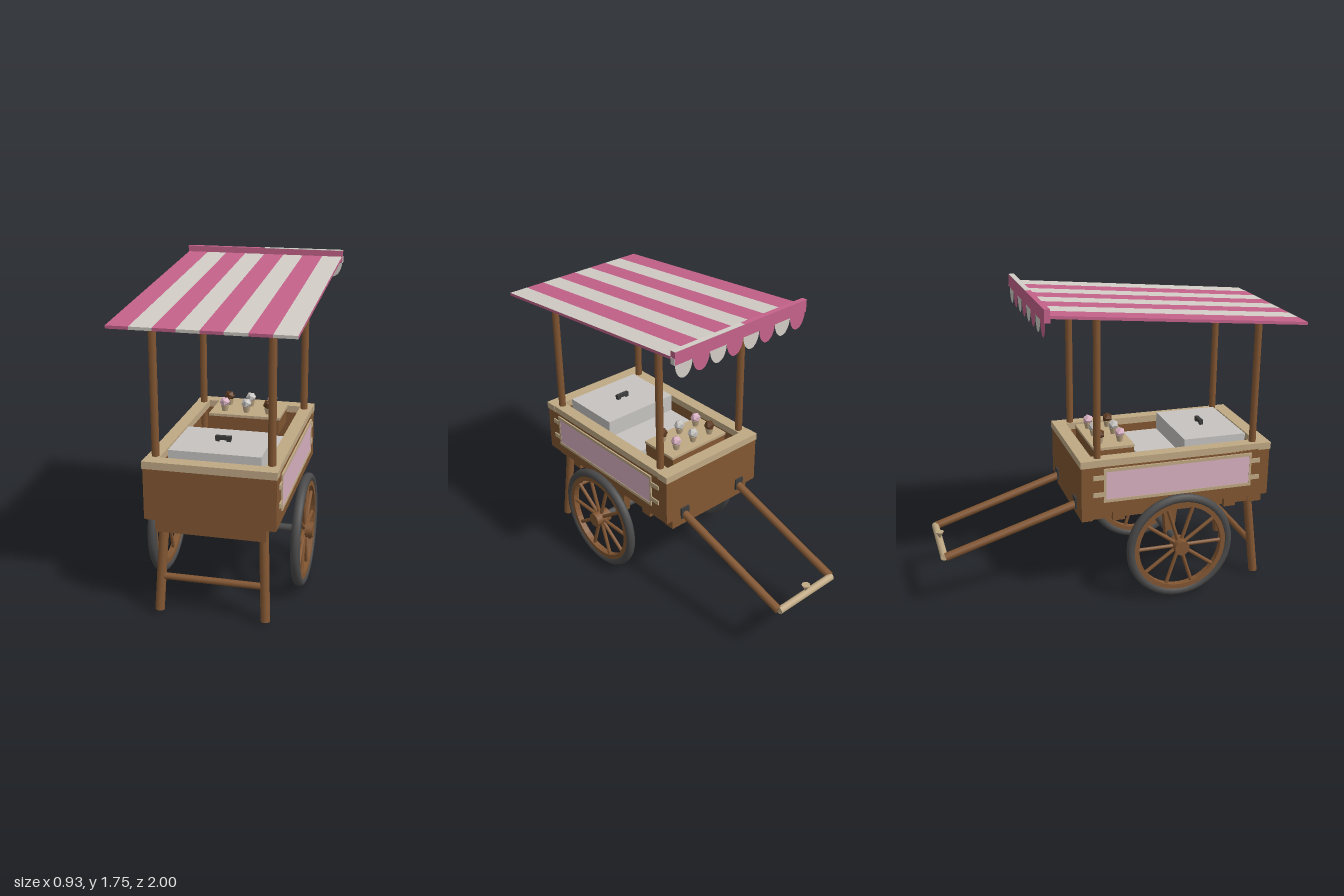
import * as THREE from 'three';

const mat = (name, color, extra = {}) => Object.assign(new THREE.MeshStandardMaterial({ color, ...extra }), { name });

export function createModel() {
  const wood = mat('wood', 0x825632);
  const paleWood = mat('pale wood', 0xc0a985);
  const pink = mat('awning pink', 0xc4628a, { side: THREE.DoubleSide });
  const cream = mat('awning cream', 0xd2cdc6, { side: THREE.DoubleSide });
  const palePink = mat('pale pink', 0xd8b0c1);
  const grey = mat('lid grey', 0xc6c3c0);
  const rubber = mat('rubber', 0x4a4a4a);
  const iron = mat('dark iron', 0x3c3c3c);
  const chocolate = mat('chocolate', 0x5e3a20);

  const root = new THREE.Group();
  root.name = 'vendorCart';
  const V = (x, y, z) => new THREE.Vector3(x, y, z);

  function add(name, geo, material, x = 0, y = 0, z = 0, parent = root) {
    const m = new THREE.Mesh(geo, material);
    m.name = name;
    m.position.set(x, y, z);
    parent.add(m);
    return m;
  }
  // Box given by its limits on each axis
  function box(name, material, x0, x1, y0, y1, z0, z1, parent = root) {
    return add(name, new THREE.BoxGeometry(x1 - x0, y1 - y0, z1 - z0), material,
      (x0 + x1) / 2, (y0 + y1) / 2, (z0 + z1) / 2, parent);
  }
  // Round rod between two points
  function rod(name, material, a, b, r, sides = 12, parent = root) {
    const d = b.clone().sub(a);
    const m = add(name, new THREE.CylinderGeometry(r, r, d.length(), sides), material, 0, 0, 0, parent);
    m.position.copy(a).add(b).multiplyScalar(0.5);
    m.quaternion.setFromUnitVectors(V(0, 1, 0), d.normalize());
    return m;
  }

  // Body: open box with floor
  box('bodyFloor', wood, -0.34, 0.34, 0.555, 0.58, -0.225, 0.875);
  box('bodyFront', wood, -0.345, 0.345, 0.56, 0.84, 0.85, 0.88);
  box('bodyBack', wood, -0.345, 0.345, 0.56, 0.84, -0.23, -0.2);
  box('topRimFront', paleWood, -0.348, 0.348, 0.835, 0.875, 0.81, 0.885);
  box('topRimBack', paleWood, -0.348, 0.348, 0.835, 0.875, -0.235, -0.16);

  // Underframe
  box('frameFront', wood, -0.29, 0.29, 0.49, 0.556, 0.8, 0.87);
  box('frameBack', wood, -0.29, 0.29, 0.49, 0.556, -0.215, -0.15);
  for (const z of [0.665, -0.005]) box('crossBeam', wood, -0.31, 0.31, 0.488, 0.556, z - 0.035, z + 0.035);

  // Tapered axle bracket profile
  const bracket = new THREE.Shape([[-0.05, 0.556], [-0.022, 0.3], [0.022, 0.3], [0.05, 0.556]]
    .map(([a, b]) => new THREE.Vector2(a, b)));
  const bracketGeo = new THREE.ExtrudeGeometry(bracket, { depth: 0.05, bevelEnabled: false });
  bracketGeo.translate(0, 0, -0.025).rotateY(Math.PI / 2);

  for (const s of [1, -1]) {
    const side = (name, m, x0, x1, ...r) => box(name, m, Math.min(s * x0, s * x1), Math.max(s * x0, s * x1), ...r);
    side('bodySide', wood, 0.315, 0.345, 0.56, 0.84, -0.2, 0.85);
    side('topRimSide', paleWood, 0.275, 0.345, 0.835, 0.875, -0.16, 0.81);
    side('frameRail', wood, 0.23, 0.285, 0.495, 0.556, -0.15, 0.8);

    // Painted side panel with slats
    side('sidePanel', palePink, 0.345, 0.351, 0.642, 0.81, -0.092, 0.757);
    for (const y of [0.633, 0.814]) side('panelTrim', paleWood, 0.345, 0.354, y - 0.009, y + 0.009, -0.105, 0.77);
    for (const z of [-0.098, 0.763]) side('panelEndTrim', paleWood, 0.345, 0.353, 0.63, 0.815, z - 0.006, z + 0.006);
    for (const y of [0.672, 0.773]) {
      side('panelSlat', paleWood, 0.345, 0.352, y - 0.013, y + 0.013, 0.757, 0.822);
      side('panelSlat', paleWood, 0.345, 0.352, y - 0.013, y + 0.013, -0.165, -0.092);
    }

    // Awning posts
    rod('frontPost', wood, V(s * 0.302, 0.58, 0.79), V(s * 0.302, 1.602, 0.79), 0.021, 8);
    rod('backPost', wood, V(s * 0.302, 0.58, -0.13), V(s * 0.302, 1.684, -0.13), 0.021, 8);

    // Front legs, axle brackets, pull handles
    rod('frontLeg', wood, V(s * 0.262, 0.56, 0.79), V(s * 0.285, 0.03, 0.85), 0.025);
    add('axleBracket', bracketGeo, wood, s * 0.21, 0, 0.33);
    rod('pullShaft', wood, V(s * 0.213, 0.578, -0.215), V(s * 0.207, 0.342, -0.972), 0.023);
    side('shaftBracket', iron, 0.185, 0.241, 0.55, 0.62, -0.24, -0.23);

    // Wheel
    const wheel = new THREE.Group();
    wheel.name = s > 0 ? 'leftWheel' : 'rightWheel';
    wheel.position.set(s * 0.395, 0.325, 0.33);
    wheel.rotation.y = Math.PI / 2;
    root.add(wheel);
    add('tyre', new THREE.TorusGeometry(0.29, 0.026, 10, 40), rubber, 0, 0, 0, wheel);
    const rim = new THREE.Shape().absarc(0, 0, 0.275, 0, Math.PI * 2, false);
    rim.holes.push(new THREE.Path().absarc(0, 0, 0.245, 0, Math.PI * 2, true));
    add('wheelRim', new THREE.ExtrudeGeometry(rim, { depth: 0.036, bevelEnabled: false, curveSegments: 20 }),
      wood, 0, 0, -0.018, wheel);
    for (let i = 0; i < 10; i++) {
      const a = i * Math.PI / 5, c = Math.cos(a), n = Math.sin(a);
      rod('spoke', wood, V(c * 0.03, n * 0.03, 0), V(c * 0.255, n * 0.255, 0), 0.011, 8, wheel);
    }
    rod('hub', wood, V(0, 0, -0.05), V(0, 0, 0.05), 0.043, 14, wheel);
  }
  rod('legCrossbar', wood, V(-0.272, 0.218, 0.829), V(0.272, 0.218, 0.829), 0.018);
  rod('axle', rubber, V(-0.4, 0.325, 0.33), V(0.4, 0.325, 0.33), 0.021);

  // Handle bar with small bell
  rod('handleBar', paleWood, V(-0.208, 0.342, -0.979), V(0.208, 0.342, -0.979), 0.021);
  add('bell', new THREE.CylinderGeometry(0.024, 0.005, 0.036, 10), paleWood, 0, 0.382, -0.976);

  // Cold box with lid
  box('coldBox', grey, -0.24, 0.24, 0.58, 0.8, 0.16, 0.8);
  box('lid', grey, -0.243, 0.243, 0.8, 0.903, 0.4, 0.77);
  box('lidGrip', iron, -0.042, 0.042, 0.912, 0.932, 0.57, 0.592);
  for (const x of [-0.03, 0.03]) box('gripFoot', iron, x - 0.01, x + 0.01, 0.9, 0.915, 0.571, 0.591);

  // Tray of ice cream cones
  box('trayBody', wood, -0.2, 0.2, 0.79, 0.875, -0.12, 0.115);
  box('trayTop', paleWood, -0.205, 0.205, 0.875, 0.89, -0.122, 0.117);
  const coneGeo = new THREE.CylinderGeometry(0.024, 0.014, 0.045, 8);
  const scoopGeo = new THREE.IcosahedronGeometry(0.031, 0);
  [[palePink, grey, chocolate], [chocolate, grey, palePink]].forEach((row, j) => row.forEach((m, i) => {
    const x = (i - 1) * 0.127, z = j ? -0.065 : 0.053;
    add('cone', coneGeo, paleWood, x, 0.905, z);
    add('scoop', scoopGeo, m, x, 0.943, z);
  }));

  // Sloping striped awning
  const awning = new THREE.Group();
  awning.name = 'awning';
  awning.position.set(0, 1.65, 0.286);
  awning.rotation.x = Math.atan2(0.13, 1.43);
  root.add(awning);
  const w = 0.115;
  const scallop = new THREE.Shape().absellipse(0, 0, w / 2, 0.09, Math.PI, Math.PI * 2, false);
  const scallopGeo = new THREE.ShapeGeometry(scallop, 10);
  for (let i = 0; i < 8; i++) {
    const m = i % 2 ? cream : pink, x = (i - 3.5) * w;
    box('stripe', i === 7 ? [pink, m, m, m, m, m] : m, x - w / 2, x + w / 2, -0.008, 0.008, -0.715, 0.718, awning);
    add('scallop', scallopGeo, m, x, 1.69, -0.438);
  }
  // Back bar of the awning
  box('awningBar', pink, -0.463, 0.463, 1.685, 1.755, -0.443, -0.412);
  box('barTopPlate', cream, 0, 0.463, 1.755, 1.757, -0.443, -0.412);
  box('barEndPlate', cream, 0.463, 0.465, 1.685, 1.72, -0.443, -0.412);

  root.traverse(o => { if (o.name === 'scoop') o.geometry.computeVertexNormals(); });
  return root;
}
